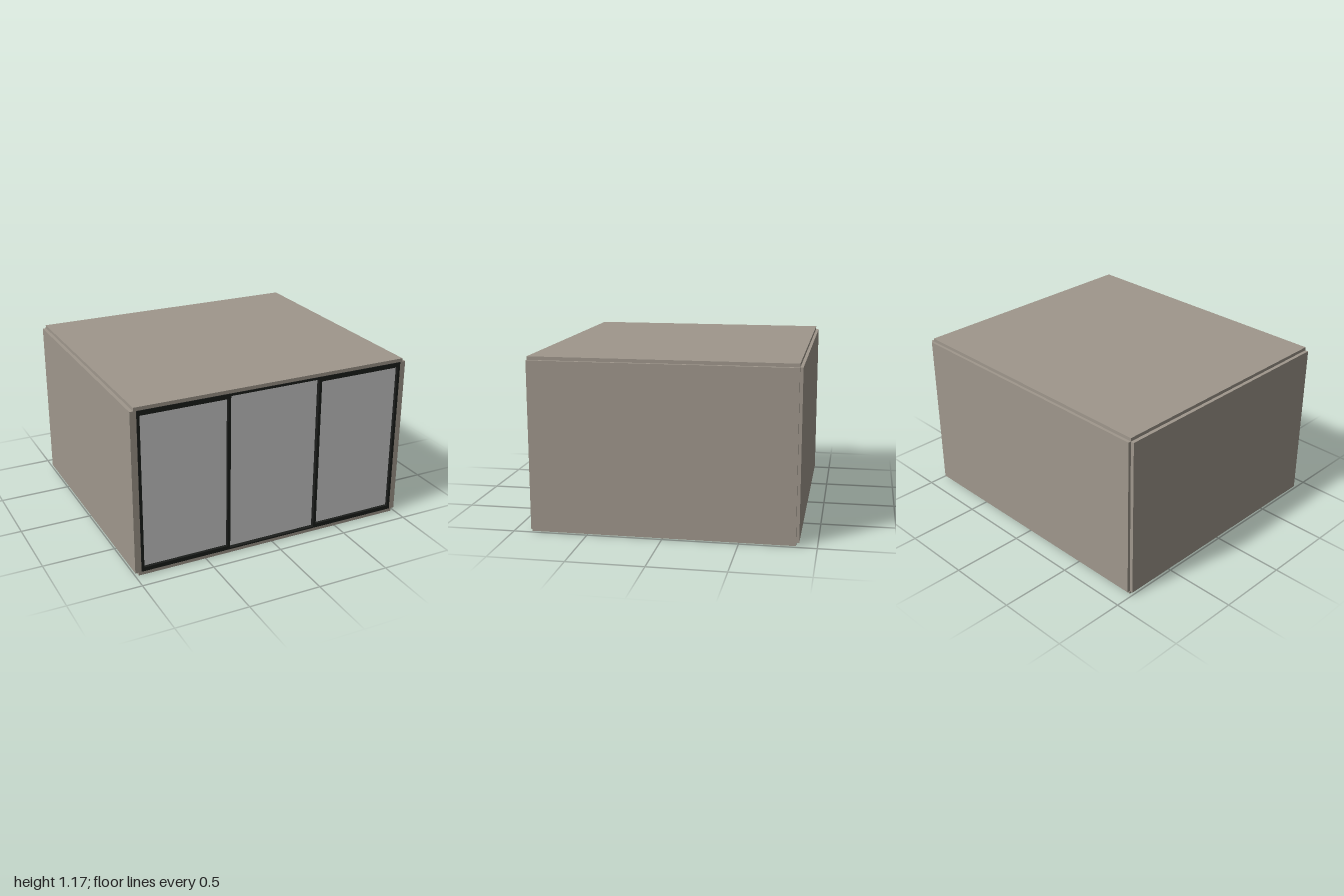
import * as THREE from 'three';

export function createModel() {
  const model = new THREE.Group();
  model.name = 'cabin';
  const casing = new THREE.MeshStandardMaterial({ name: 'warm grey cladding', color: 0x9f978c });
  const black = new THREE.MeshStandardMaterial({ name: 'black frame', color: 0x1b1d1b });
  const glass = new THREE.MeshStandardMaterial({ name: 'pale grey glass', color: 0xc9c9c9 });

  // Box given by its lower and upper limits on each axis
  function block(name, material, [x0, x1], [y0, y1], [z0, z1], parent = model) {
    const mesh = new THREE.Mesh(new THREE.BoxGeometry(x1 - x0, y1 - y0, z1 - z0), material);
    mesh.position.set((x0 + x1) / 2, (y0 + y1) / 2, (z0 + z1) / 2);
    mesh.name = name;
    parent.add(mesh);
  }

  // Cladding panels, leaving small notches along the outer edges
  const front = 0.88;
  block('roofPanel', casing, [-0.976, 0.976], [1.145, 1.17], [-0.865, front]);
  block('floorPanel', casing, [-0.976, 0.976], [0, 0.027], [-0.865, front]);
  block('leftWall', casing, [0.957, 1], [0.022, 1.147], [-0.865, front]);
  block('rightWall', casing, [-1, -0.957], [0.022, 1.147], [-0.865, front]);
  block('backWall', casing, [-0.976, 0.976], [0.022, 1.147], [-0.885, -0.84]);

  // Window frame
  const frame = new THREE.Group();
  frame.name = 'windowFrame';
  model.add(frame);
  const depth = [0.83, 0.885];
  block('topRail', black, [-0.957, 0.957], [1.13, 1.146], depth, frame);
  block('bottomRail', black, [-0.957, 0.957], [0.026, 0.036], depth, frame);
  for (const s of [-1, 1]) {
    const span = (a, b) => (s > 0 ? [a, b] : [-b, -a]);
    block('outerPost', black, span(0.938, 0.957), [0.036, 1.13], depth, frame);
    block('innerPost', black, span(0.322, 0.342), [0.036, 1.13], depth, frame);
    block('sideTopRail', black, span(0.342, 0.938), [1.113, 1.13], depth, frame);
    block('sideBottomRail', black, span(0.342, 0.938), [0.036, 0.054], depth, frame);
    block('sidePane', glass, span(0.342, 0.938), [0.054, 1.113], [0.855, 0.864]);
  }
  block('middlePane', glass, [-0.322, 0.322], [0.036, 1.13], [0.848, 0.857]);

  return model;
}
